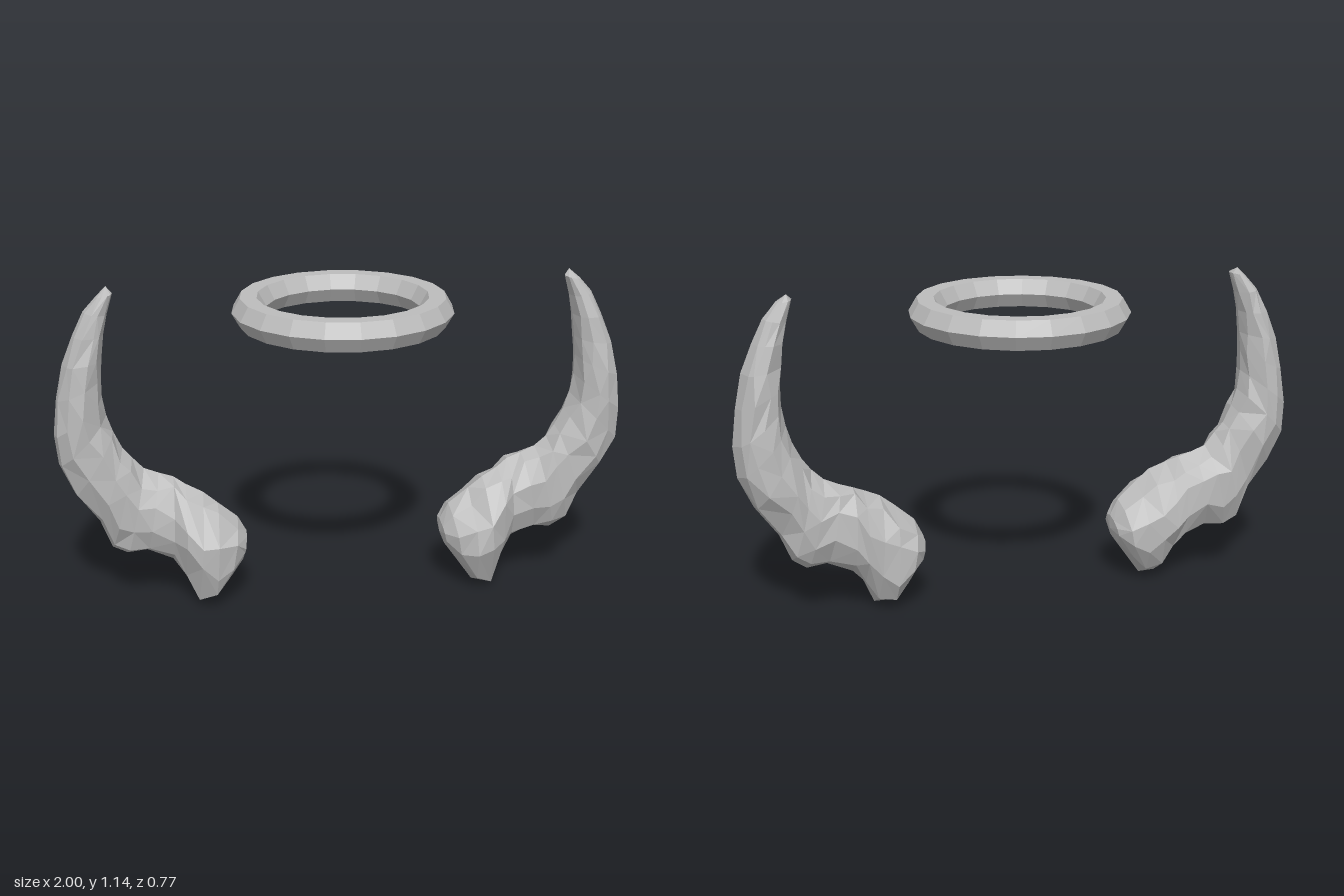
import * as THREE from 'three';

const grey = new THREE.MeshStandardMaterial({ color: 0xbcbcbc, flatShading: true });
grey.name = 'stone grey';

// Horn cross-sections: inner edge x, y, outer edge x, y, back z, front z
const SECTIONS = [
  [0.35, 0.24, 0.37, 0.14, -0.05, 0.09],
  [0.38, 0.30, 0.42, 0.07, -0.10, 0.15],
  [0.45, 0.36, 0.47, 0.00, -0.115, 0.18],
  [0.50, 0.40, 0.53, 0.00, -0.115, 0.18],
  [0.56, 0.43, 0.57, 0.09, -0.115, 0.15],
  [0.60, 0.45, 0.61, 0.14, -0.11, 0.10],
  [0.65, 0.47, 0.70, 0.18, -0.105, 0.09],
  [0.70, 0.49, 0.77, 0.17, -0.105, 0.09],
  [0.74, 0.53, 0.82, 0.20, -0.105, 0.10],
  [0.77, 0.57, 0.86, 0.30, -0.11, 0.10],
  [0.80, 0.63, 0.94, 0.41, -0.12, 0.11],
  [0.82, 0.69, 0.99, 0.52, -0.115, 0.105],
  [0.83, 0.76, 1.00, 0.63, -0.105, 0.105],
  [0.83, 0.83, 0.985, 0.76, -0.095, 0.10],
  [0.825, 0.90, 0.96, 0.88, -0.08, 0.09],
  [0.815, 0.98, 0.92, 0.98, -0.067, 0.075],
  [0.80, 1.05, 0.88, 1.06, -0.05, 0.055],
  [0.78, 1.12, 0.835, 1.11, -0.025, 0.04],
];
const SIDES = 10;

function seeded(seed) {
  return () => {
    seed = (seed * 16807) % 2147483647;
    return seed / 2147483647;
  };
}

// side: +1 left horn, -1 right horn
function horn(side, seed) {
  const rand = seeded(seed);
  const pos = [], index = [];
  const tri = (a, b, c) => (side > 0 ? index.push(a, b, c) : index.push(a, c, b));

  SECTIONS.forEach(([ax, ay, bx, by, z0, z1], i) => {
    for (let j = 0; j < SIDES; j++) {
      // roughen each corner for a carved look
      const edge = j % (SIDES / 2) === 0;
      const t = ((j + (edge ? 0 : (rand() - 0.5) * 0.6)) / SIDES) * Math.PI * 2;
      const r = edge ? 0.98 + rand() * 0.03 : 0.95 + rand() * 0.1;
      const u = Math.cos(t) * r * 0.5, v = Math.sin(t) * r * 0.5;
      const z = (z0 + z1) / 2 + (z1 - z0) * v;
      pos.push(
        side * ((ax + bx) / 2 + (bx - ax) * u),
        Math.max(0, (ay + by) / 2 + (by - ay) * u),
        u < -0.25 ? Math.min(z, 0.085) : z // the root bulges forward only low down
      );
    }
    if (i === 0) return;
    for (let j = 0; j < SIDES; j++) {
      const k = (j + 1) % SIDES, p = (i - 1) * SIDES, q = i * SIDES;
      if (rand() < 0.5) {
        tri(p + j, q + j, p + k);
        tri(p + k, q + j, q + k);
      } else {
        tri(p + j, q + j, q + k);
        tri(p + j, q + k, p + k);
      }
    }
  });

  // closing fans at the root and the tip
  const root = pos.length / 3, tip = root + 1, last = (SECTIONS.length - 1) * SIDES;
  pos.push(side * 0.35, 0.19, 0.02, side * 0.80, 1.14, -0.01);
  for (let j = 0; j < SIDES; j++) {
    const k = (j + 1) % SIDES;
    tri(root, j, k);
    tri(tip, last + k, last + j);
  }

  const geo = new THREE.BufferGeometry();
  geo.setAttribute('position', new THREE.Float32BufferAttribute(pos, 3));
  geo.setIndex(index);
  const flat = geo.toNonIndexed();
  flat.computeVertexNormals();
  const mesh = new THREE.Mesh(flat, grey);
  mesh.name = side > 0 ? 'leftHorn' : 'rightHorn';
  return mesh;
}

export function createModel() {
  const model = new THREE.Group();
  model.name = 'hornsAndHalo';
  model.add(horn(1, 4711), horn(-1, 9203));

  // floating ring with a six-sided section
  const halo = new THREE.Mesh(new THREE.TorusGeometry(0.325, 0.058, 6, 20), grey);
  halo.name = 'halo';
  halo.rotation.x = Math.PI / 2;
  halo.position.y = 1.03;
  model.add(halo);
  return model;
}
